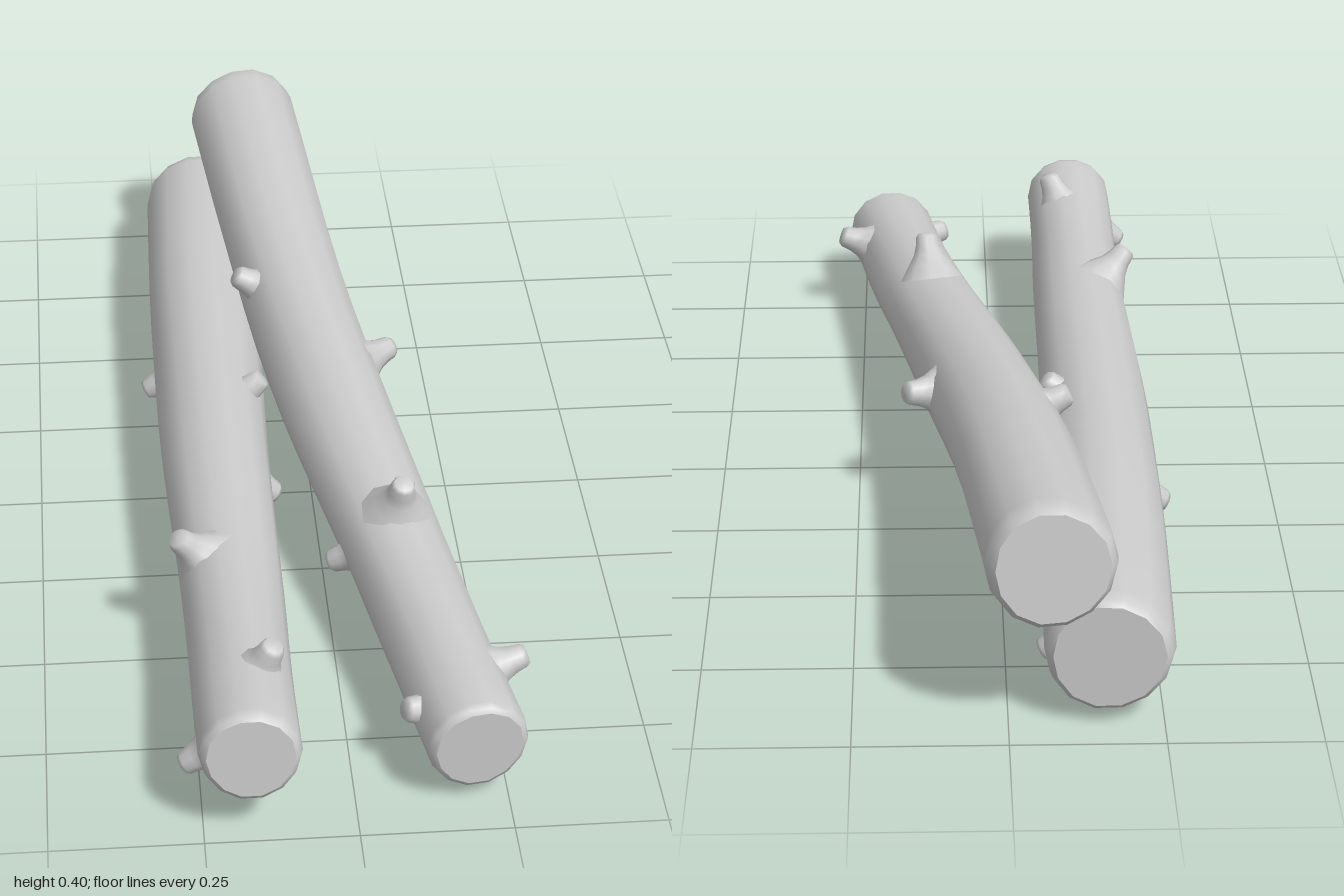
import * as THREE from 'three';

const SIDES = 14;
const STEPS = 18;
const UP = new THREE.Vector3(0, 1, 0);
const material = new THREE.MeshStandardMaterial({ color: 0xcccccc });

// Stations run from the front end to the back end: [x, y, z, radius]
const logs = [
  {
    name: 'leftLog',
    stations: [
      [0.2, 0.108, 0.925, 0.084], [0.165, 0.12, 0.7, 0.084], [0.113, 0.143, 0.4, 0.087],
      [0.044, 0.187, 0, 0.098], [-0.015, 0.238, -0.4, 0.101], [-0.068, 0.305, -0.983, 0.106],
    ],
    // [tip x, tip y, tip z, root z]
    knots: [
      [0.298, 0.163, 0.75, 0.76], [0.083, 0.135, 0.85, 0.82], [0.125, 0.297, 0.43, 0.37],
      [0.002, 0.093, 0.36, 0.38], [-0.122, 0.295, -0.31, -0.31], [0.165, 0.222, -0.15, -0.08],
      [0.045, 0.072, 0, 0], [-0.04, 0.162, -0.83, -0.83],
    ],
  },
  {
    name: 'rightLog',
    stations: [
      [-0.173, 0.16, 0.99, 0.083], [-0.174, 0.14, 0.7, 0.084], [-0.176, 0.128, 0.4, 0.089],
      [-0.179, 0.13, 0, 0.098], [-0.175, 0.13, -0.45, 0.105], [-0.16, 0.125, -0.94, 0.105],
    ],
    knots: [
      [-0.268, 0.24, 0.48, 0.44], [-0.125, 0.262, 0.83, 0.8], [-0.28, 0.085, 0.9, 0.9],
      [-0.297, 0.065, -0.28, -0.28], [-0.192, 0.003, 0.42, 0.42], [-0.085, 0.212, -0.07, -0.07],
      [-0.068, 0.045, 0.07, 0.07], [-0.056, 0.06, -0.8, -0.8],
    ],
  },
];

// Trunk: rings square to the path, rounded rims and flat sawn ends
function trunkGeometry(path, radii) {
  const positions = [], index = [], rings = [];
  const add = (v) => positions.push(v.x, v.y, v.z) / 3 - 1;
  const spans = [[0, 0.86], [0.004, 0.95], [0.014, 1]];
  const profile = [...spans];
  for (let i = 1; i < STEPS; i++) profile.push([i / STEPS, 1]);
  spans.reverse().forEach(([t, s]) => profile.push([1 - t, s]));

  for (const [t, scale] of profile) {
    const centre = path.getPoint(t);
    const along = path.getTangent(t);
    const side = new THREE.Vector3().crossVectors(UP, along).normalize();
    const top = new THREE.Vector3().crossVectors(along, side);
    const k = Math.min(Math.floor(t * (radii.length - 1)), radii.length - 2);
    const radius = THREE.MathUtils.lerp(radii[k], radii[k + 1], t * (radii.length - 1) - k);
    const ring = [];
    for (let j = 0; j < SIDES; j++) {
      const a = (j / SIDES) * Math.PI * 2;
      // gentle unevenness of the bark
      const r = radius * scale * (1.005 + 0.015 * Math.sin(3 * a + 14 * t));
      ring.push(centre.clone().addScaledVector(side, r * Math.cos(a)).addScaledVector(top, r * Math.sin(a)));
    }
    rings.push({ centre, ring });
  }

  // bark
  rings.forEach(({ ring }) => ring.forEach(add));
  for (let i = 0; i < rings.length - 1; i++) {
    for (let j = 0; j < SIDES; j++) {
      const n = (j + 1) % SIDES;
      const a = i * SIDES + j, b = i * SIDES + n, c = a + SIDES, d = b + SIDES;
      index.push(a, b, c, b, d, c);
    }
  }
  // sawn ends
  [rings[0], rings[rings.length - 1]].forEach(({ centre, ring }, end) => {
    const hub = add(centre);
    ring.forEach(add);
    for (let j = 0; j < SIDES; j++) {
      const a = hub + 1 + j, b = hub + 1 + ((j + 1) % SIDES);
      index.push(hub, end ? a : b, end ? b : a);
    }
  });

  const geometry = new THREE.BufferGeometry();
  geometry.setAttribute('position', new THREE.Float32BufferAttribute(positions, 3));
  geometry.setIndex(index);
  geometry.computeVertexNormals();
  return geometry;
}

// Branch stub: blunt tip at the origin, flaring down into the trunk
const stubGeometry = new THREE.LatheGeometry(
  [[0.062, -0.09], [0.043, -0.062], [0.03, -0.043], [0.024, -0.026], [0.021, -0.008], [0.016, -0.001], [0, 0]]
    .map(([r, y]) => new THREE.Vector2(r, y)), 10);

function createLog({ name, stations, knots }) {
  const log = new THREE.Group();
  log.name = name;
  const path = new THREE.CatmullRomCurve3(stations.map(([x, y, z]) => new THREE.Vector3(x, y, z)));
  const trunk = new THREE.Mesh(trunkGeometry(path, stations.map((s) => s[3])), material);
  trunk.name = 'trunk';
  log.add(trunk);

  const samples = path.getPoints(300);
  for (const [x, y, z, rootZ] of knots) {
    const tip = new THREE.Vector3(x, y, z);
    const root = samples.reduce((best, p) => (Math.abs(p.z - rootZ) < Math.abs(best.z - rootZ) ? p : best));
    const stub = new THREE.Mesh(stubGeometry, material);
    stub.name = 'branchStub';
    stub.position.copy(tip);
    stub.quaternion.setFromUnitVectors(UP, tip.clone().sub(root).normalize());
    log.add(stub);
  }
  return log;
}

export function createModel() {
  const model = new THREE.Group();
  model.name = 'logs';
  logs.forEach((log) => model.add(createLog(log)));
  return model;
}
